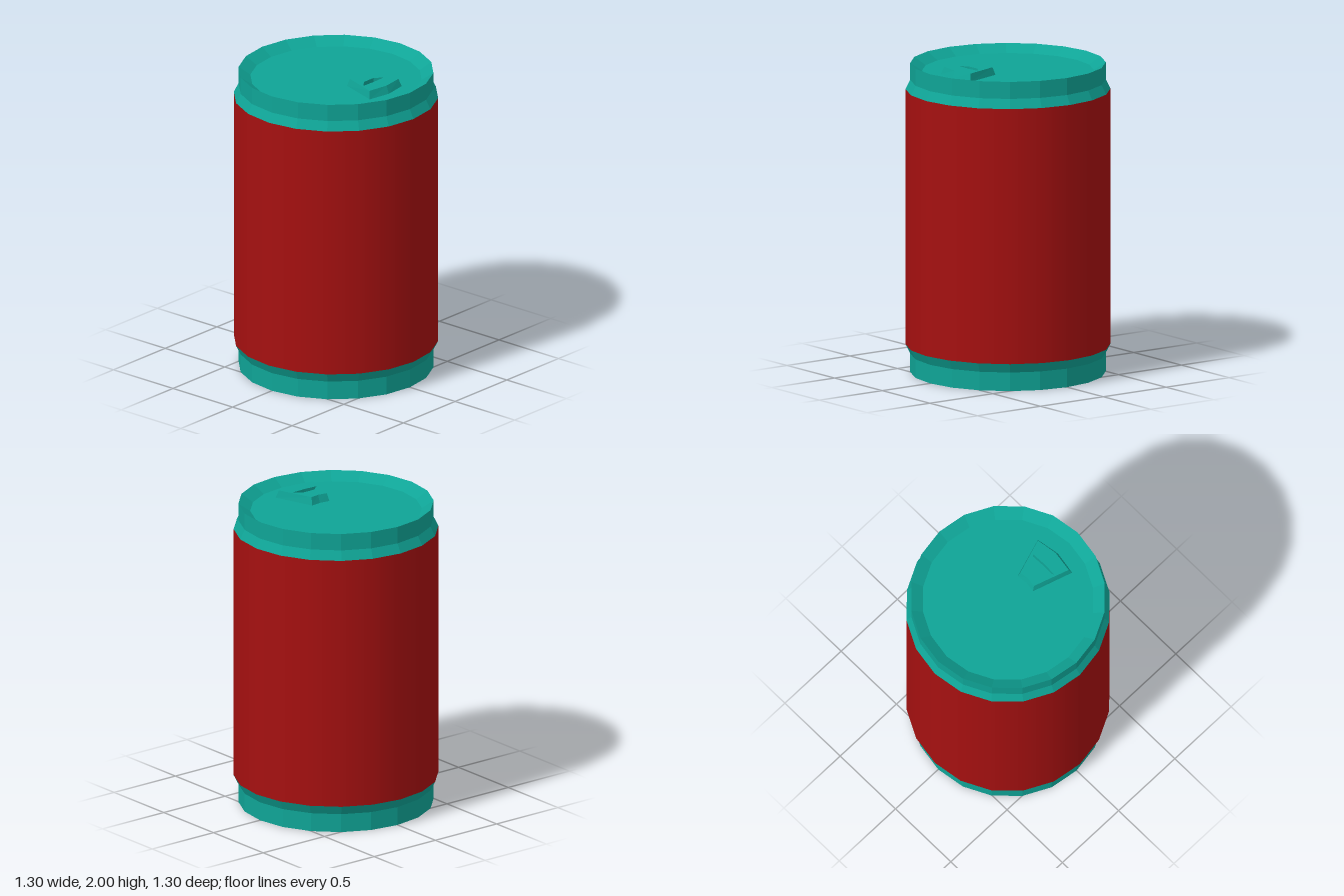
import * as THREE from 'three';

const SIDES = 20;

const teal = new THREE.MeshStandardMaterial({ color: 0x0fa496 });
teal.name = 'teal metal';
const red = new THREE.MeshStandardMaterial({ color: 0xa51010 });
red.name = 'red paint';

// Faceted copy of a geometry: one normal per face
function faceted(geometry) {
  const g = geometry.index ? geometry.toNonIndexed() : geometry;
  g.computeVertexNormals();
  return g;
}

function addMesh(parent, name, geometry, material) {
  const mesh = new THREE.Mesh(geometry, material);
  mesh.name = name;
  parent.add(mesh);
  return mesh;
}

// Revolved profile of [radius, y] points, listed so that the outside faces out
function turned(profile) {
  return new THREE.LatheGeometry(profile.map(([r, y]) => new THREE.Vector2(r, y)), SIDES);
}

// Wall between two matching [x, z] loops at two heights
function wall(lower, yLow, upper, yHigh) {
  const pos = [];
  lower.forEach((a, i) => {
    const j = (i + 1) % lower.length;
    const b = lower[j], c = upper[j], d = upper[i];
    pos.push(a[0], yLow, a[1], b[0], yLow, b[1], c[0], yHigh, c[1]);
    pos.push(a[0], yLow, a[1], c[0], yHigh, c[1], d[0], yHigh, d[1]);
  });
  const g = new THREE.BufferGeometry();
  g.setAttribute('position', new THREE.Float32BufferAttribute(pos, 3));
  return faceted(g);
}

// Flat upward face from an [x, z] loop, with an optional hole
function plate(loop, y, hole) {
  const points = (l) => l.map(([x, z]) => new THREE.Vector2(x, -z));
  const shape = new THREE.Shape(points(loop));
  if (hole) shape.holes.push(new THREE.Path(points(hole)));
  return new THREE.ShapeGeometry(shape).rotateX(-Math.PI / 2).translate(0, y, 0);
}

// Six-cornered loop, mirrored in z, running counter-clockwise seen from above
function tabLoop(innerX, innerZ, innerMid, outerX, outerZ, outerMid) {
  return [
    [innerMid, 0], [innerX, innerZ], [outerX, outerZ],
    [outerMid, 0], [outerX, -outerZ], [innerX, -innerZ],
  ];
}

function createTab() {
  const tab = new THREE.Group();
  tab.name = 'pullTab';
  const base = tabLoop(0.153, 0.07, 0.163, 0.418, 0.155, 0.444);
  const top = tabLoop(0.17, 0.062, 0.18, 0.403, 0.139, 0.424);
  const hole = tabLoop(0.274, 0.047, 0.273, 0.316, 0.096, 0.32);
  addMesh(tab, 'tabSides', wall(base, 1.95, top, 2), teal);
  addMesh(tab, 'tabTop', plate(top, 2, hole), teal);
  // The hole is the same wall with its direction reversed
  const inward = [...hole].reverse();
  addMesh(tab, 'tabHoleWalls', wall(inward, 1.955, inward, 2), teal);
  addMesh(tab, 'tabHoleFloor', plate(hole, 1.955), teal);
  return tab;
}

export function createModel() {
  const can = new THREE.Group();
  can.name = 'can';

  // Painted barrel
  addMesh(can, 'body', turned([[0.65, 0.18], [0.65, 1.83]]), red);

  // Recessed base, rim and shoulder
  addMesh(can, 'bottomEnd', faceted(turned([
    [0, 0.05], [0.545, 0.05], [0.62, 0], [0.62, 0.12], [0.65, 0.18],
  ])), teal);

  // Shoulder, rim and recessed lid
  addMesh(can, 'topEnd', faceted(turned([
    [0.65, 1.83], [0.62, 1.89], [0.62, 2], [0.545, 1.95], [0, 1.95],
  ])), teal);

  can.add(createTab());
  return can;
}
